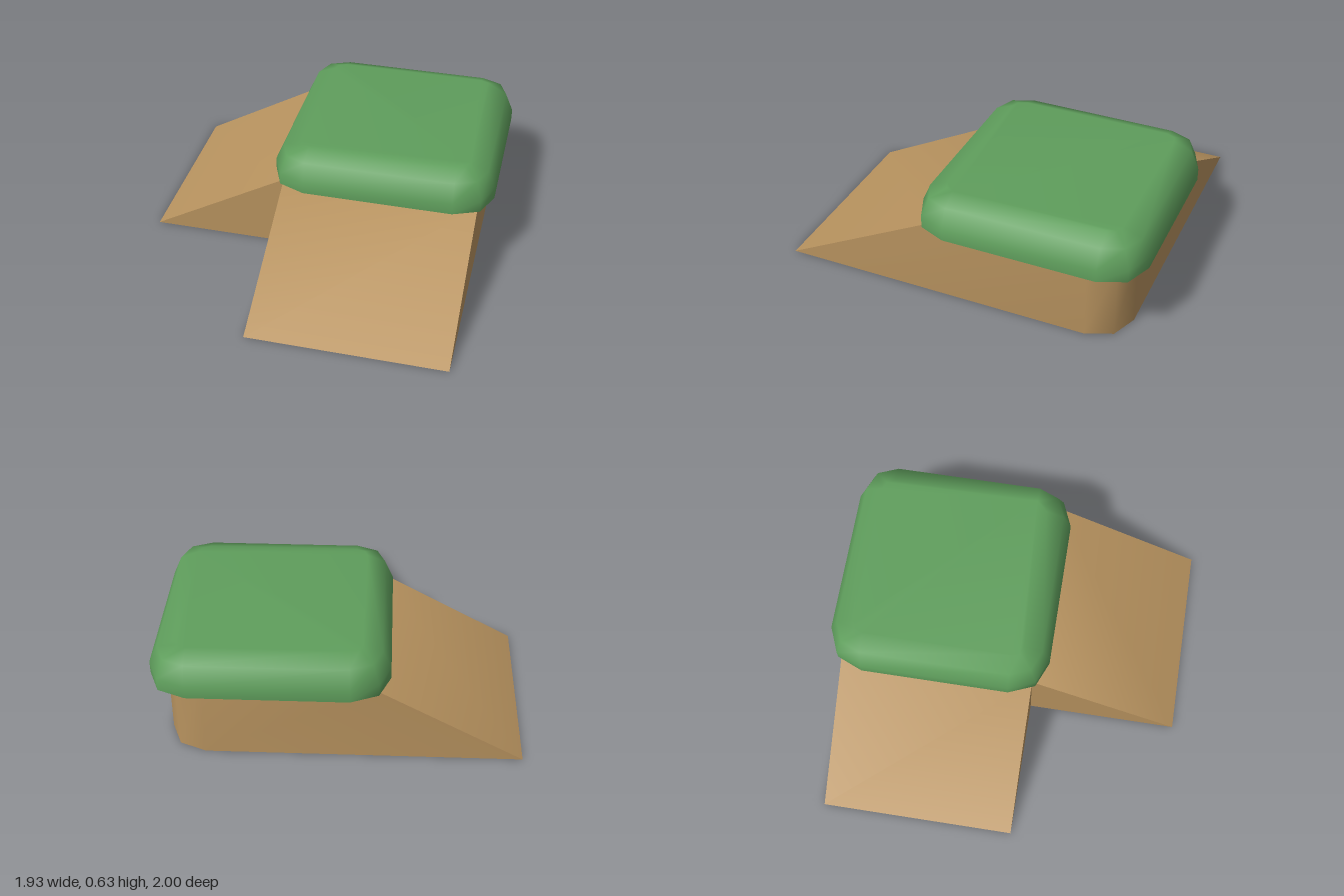
import * as THREE from 'three';
import { toCreasedNormals } from 'three/addons/utils/BufferGeometryUtils.js';

// Convex (or fan-safe) polygons, counter-clockwise from outside
function fromFaces(faces) {
  const pos = [];
  for (const f of faces)
    for (let i = 1; i < f.length - 1; i++) pos.push(...f[0], ...f[i], ...f[i + 1]);
  const g = new THREE.BufferGeometry();
  g.setAttribute('position', new THREE.Float32BufferAttribute(pos, 3));
  return toCreasedNormals(g, 0.9);
}

// Corner block with one rounded corner and two ramps
function earthGeometry() {
  const H = 0.435, x0 = -0.2, x1 = 0.89, z0 = -0.92, z1 = 0.16, r = 0.2, k = r * 0.293;
  const A = [-0.97, 0, z0], B = [-0.97, 0, z1], C = [x0, 0, z1], D = [x0, 0, 1], E = [x1, 0, 1];
  const F = [x1, 0, z0 + r], G = [x1 - k, 0, z0 + k], K = [x1 - r, 0, z0];
  const up = ([x, , z]) => [x, H, z];
  const a = [x0, H, z0], c = up(C), e = [x1, H, z1], f = up(F), g = up(G), h = up(K);
  return fromFaces([
    [A, B, c, a], [D, E, e, c],                        // ramp slopes
    [B, C, c], [C, D, c],                              // inner walls
    [E, F, f, e], [F, G, g, f], [G, K, h, g], [K, A, a, h], // outer walls
    [c, e, f, g, h, a],                                // top
    [C, B, A, K, G, F, E, D],                          // underside
  ]);
}

// Rounded square cap: rings of an inset outline, softened at the top
function grassGeometry() {
  const half = 0.62, r = 0.205, core = half - r, cx = 0.345, cz = -0.38;
  const rings = [[0, 0.42], [0, 0.488], [0.045, 0.59], [0.145, 0.63]]; // inset, height
  const pos = [], idx = [], n = 12;
  const addRing = ([inset, y]) => {
    for (let q = 0; q < 4; q++)
      for (let s = 0; s < 3; s++) {
        const t = (q + s / 2) * Math.PI / 2, m = (q + 0.5) * Math.PI / 2;
        pos.push(cx + Math.sign(Math.cos(m)) * core + Math.cos(t) * (r - inset), y,
          cz + Math.sign(Math.sin(m)) * core + Math.sin(t) * (r - inset));
      }
  };
  rings.forEach(addRing);
  for (let j = 0; j < rings.length - 1; j++)
    for (let i = 0; i < n; i++) {
      const p = j * n + i, q = j * n + (i + 1) % n;
      idx.push(p, p + n, q, q, p + n, q + n);
    }
  const top = (rings.length - 1) * n, under = rings.length * n;
  addRing(rings[0]); // separate ring keeps the lower edge sharp
  for (let i = 1; i < n - 1; i++) {
    idx.push(top, top + i + 1, top + i);
    idx.push(under, under + i, under + i + 1);
  }
  const g = new THREE.BufferGeometry();
  g.setAttribute('position', new THREE.Float32BufferAttribute(pos, 3));
  g.setIndex(idx);
  g.computeVertexNormals();
  return g;
}

export function createModel() {
  const group = new THREE.Group();
  group.name = 'cornerSlope';
  const earth = new THREE.MeshStandardMaterial({ color: 0xb8935f });
  earth.name = 'earth brown';
  const grass = new THREE.MeshStandardMaterial({ color: 0x5f9e5c });
  grass.name = 'grass green';
  const add = (name, geometry, material) => {
    const mesh = new THREE.Mesh(geometry, material);
    mesh.name = name;
    group.add(mesh);
  };
  add('earthRamps', earthGeometry(), earth);
  add('grassCap', grassGeometry(), grass);
  return group;
}
